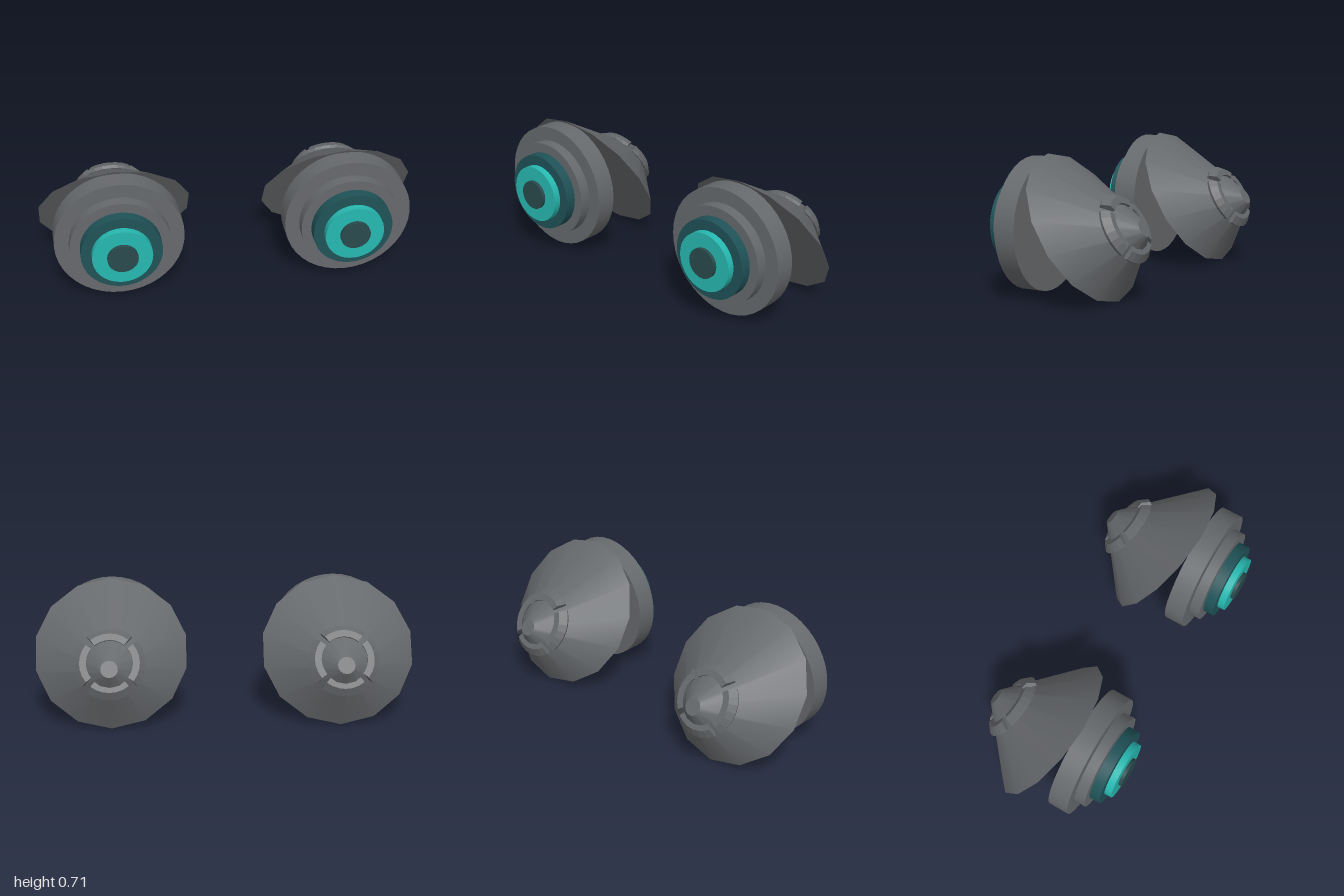
import * as THREE from 'three';
import { mergeGeometries } from 'three/addons/utils/BufferGeometryUtils.js';

const mat = (name, color) => new THREE.MeshStandardMaterial({ name, color });

// Cross-section of the collar: radius, height along the housing axis
const COLLAR = [[0.12, 0.2], [0.18, 0.2], [0.187, 0.215], [0.155, 0.249], [0.12, 0.249]];

// One curved clip of the collar, closed at both ends
function collarClip(mid, span) {
  const start = mid - span / 2, end = mid + span / 2;
  const pts = COLLAR.map(([r, y]) => new THREE.Vector2(r, y));
  const band = new THREE.LatheGeometry([...pts, pts[0].clone()], 6, start, span);
  const startCap = new THREE.ShapeGeometry(new THREE.Shape(pts)).rotateY(start - Math.PI / 2);
  const mirrored = pts.map((p) => new THREE.Vector2(-p.x, p.y));
  const endCap = new THREE.ShapeGeometry(new THREE.Shape(mirrored)).rotateY(end + Math.PI / 2);
  const geo = mergeGeometries([band, startCap, endCap].map((g) => g.toNonIndexed()));
  geo.computeVertexNormals();
  return geo;
}

export function createModel() {
  const grey = mat('grey', 0x66696c);
  const darkTeal = mat('dark teal', 0x1f5257);
  const teal = mat('teal', 0x26b8b0);
  const pupilColour = mat('pupil dark', 0x294a4d);

  // Stepped discs: name, radius, back z, front z, material
  const discs = [
    ['outerRing', 0.338, 0.135, 0.245, grey],
    ['innerRing', 0.262, 0.245, 0.303, grey],
    ['irisRim', 0.21, 0.303, 0.36, darkTeal],
    ['iris', 0.155, 0.36, 0.398, teal],
    ['pupil', 0.079, 0.398, 0.416, pupilColour],
  ];

  function buildEye(name, x) {
    const eye = new THREE.Group();
    eye.name = name;
    eye.position.set(x, 0.36, 0);

    for (const [part, r, z0, z1, material] of discs) {
      const geo = new THREE.CylinderGeometry(r, r, z1 - z0, 40).rotateX(Math.PI / 2);
      const disc = new THREE.Mesh(geo, material);
      disc.name = part;
      disc.position.z = (z0 + z1) / 2;
      eye.add(disc);
    }

    // Tilted housing behind the discs, its tip leaning downwards
    const housing = new THREE.Group();
    housing.name = 'housing';
    housing.position.z = -0.052;
    housing.rotation.x = -THREE.MathUtils.degToRad(60.3);

    const h = 0.307, lean = 0.152;
    const coneGeo = new THREE.CylinderGeometry(0.045, 0.408, h, 14).translate(0, h / 2, 0);
    coneGeo.applyMatrix4(new THREE.Matrix4().set(
      1, 0, 0, 0,
      0, 1, 0, 0,
      0, -lean / h, 1, 0,
      0, 0, 0, 1));
    const cone = new THREE.Mesh(coneGeo, grey);
    cone.name = 'housingCone';
    housing.add(cone);

    // Four clips around the tip
    for (let i = 0; i < 4; i++) {
      const clip = new THREE.Mesh(collarClip(i * Math.PI / 2, 1.36), grey);
      clip.name = 'collarClip';
      clip.position.z = -0.108;
      housing.add(clip);
    }
    eye.add(housing);
    return eye;
  }

  const model = new THREE.Group();
  model.name = 'eyePair';
  model.add(buildEye('leftEye', 0.604), buildEye('rightEye', -0.604));
  return model;
}
